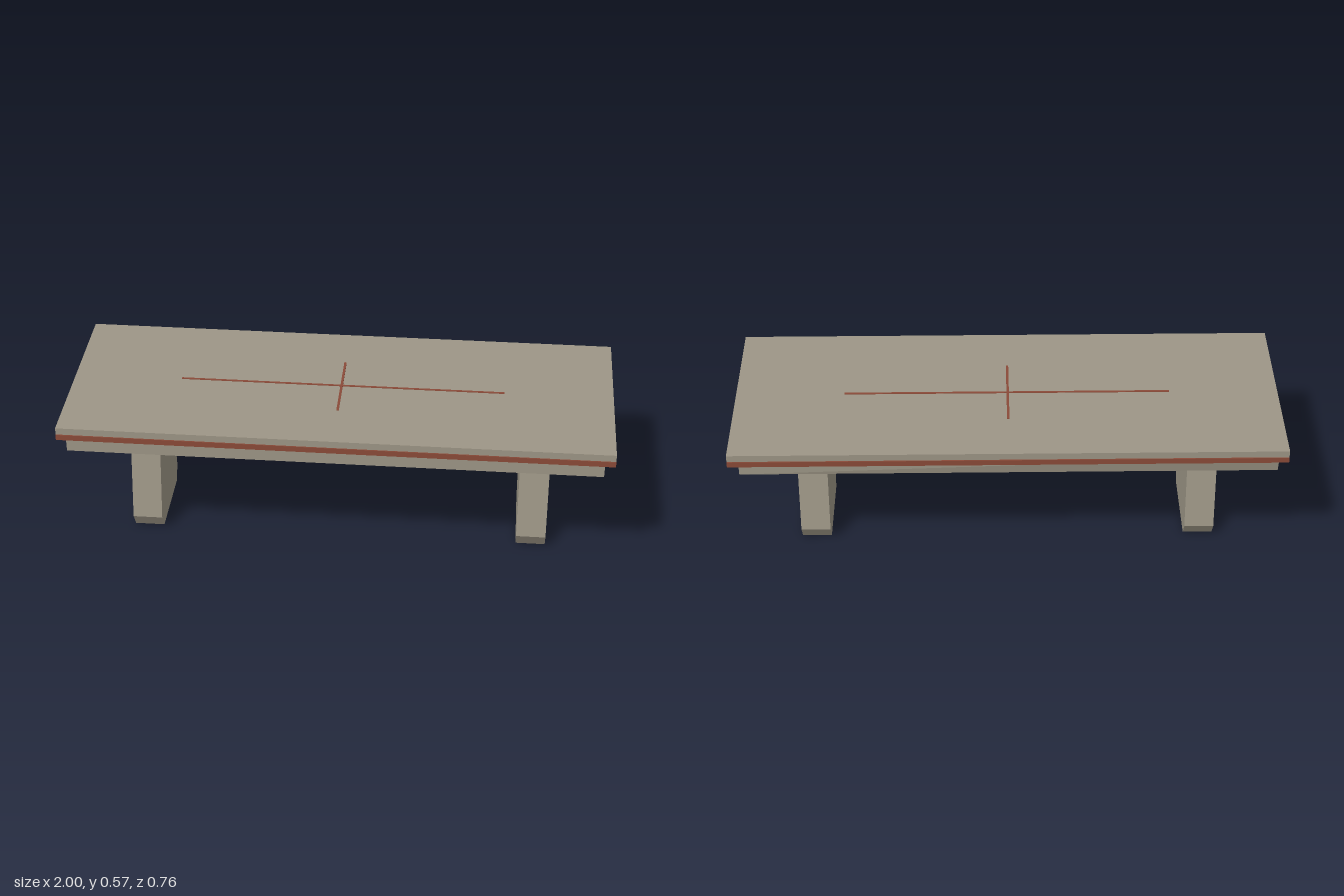
import * as THREE from 'three';

const stone = new THREE.MeshStandardMaterial({ color: 0x9d9686, flatShading: true });
const trim = new THREE.MeshStandardMaterial({ color: 0x8a4a38, flatShading: true });

// Box given by its min and max corners
function block(name, material, [x0, y0, z0], [x1, y1, z1]) {
  const geometry = new THREE.BoxGeometry(x1 - x0, y1 - y0, z1 - z0);
  geometry.translate((x0 + x1) / 2, (y0 + y1) / 2, (z0 + z1) / 2);
  const mesh = new THREE.Mesh(geometry, material);
  mesh.name = name;
  return mesh;
}

export function createModel() {
  const table = new THREE.Group();
  table.name = 'table';

  // Top slab
  table.add(block('tabletop', stone, [-1, 0.535, -0.375], [1, 0.564, 0.375]));

  // Apron under the slab, with one upper back corner pulled out a little
  const apron = block('apron', stone, [-0.967, 0.463, -0.352], [0.963, 0.535, 0.363]);
  const p = apron.geometry.attributes.position;
  for (let i = 0; i < p.count; i++) {
    if (p.getX(i) < 0 && p.getY(i) > 0.5 && p.getZ(i) < 0) p.setZ(i, -0.365);
  }
  table.add(apron);

  // Trim strips: long sides and ends
  for (const [side, s] of [['front', 1], ['back', -1]]) {
    const z = [0.362 * s, 0.379 * s].sort((a, b) => a - b);
    table.add(block(side + 'Trim', trim, [-1, 0.517, z[0]], [1, 0.538, z[1]]));
  }
  for (const [side, s] of [['left', 1], ['right', -1]]) {
    const x = [0.955 * s, 0.985 * s].sort((a, b) => a - b);
    table.add(block(side + 'Trim', trim, [x[0], 0.517, -0.362], [x[1], 0.535, 0.362]));
  }

  // Thin crossed inlay on the top
  table.add(block('longInlay', trim, [-0.6, 0.56, -0.008], [0.6, 0.566, 0.001]));
  table.add(block('shortInlay', trim, [-0.007, 0.56, -0.168], [0.002, 0.5665, 0.167]));

  // Slab legs: flared profile (z, y) extruded along x
  const half = [[0.147, 0], [0.181, 0.056], [0.139, 0.333], [0.139, 0.47]];
  const outline = [...half, ...half.map(([z, y]) => [-z, y]).reverse()];
  const profile = new THREE.Shape(outline.map(([z, y]) => new THREE.Vector2(z, y)));
  const legGeometry = new THREE.ExtrudeGeometry(profile, { depth: 0.11, bevelEnabled: false });
  legGeometry.translate(0, 0, -0.055);
  legGeometry.rotateY(Math.PI / 2);
  for (const [side, s] of [['left', 1], ['right', -1]]) {
    const leg = new THREE.Mesh(legGeometry, stone);
    leg.name = side + 'Leg';
    leg.position.set(0.725 * s, 0, 0.006);
    table.add(leg);
  }
  return table;
}
